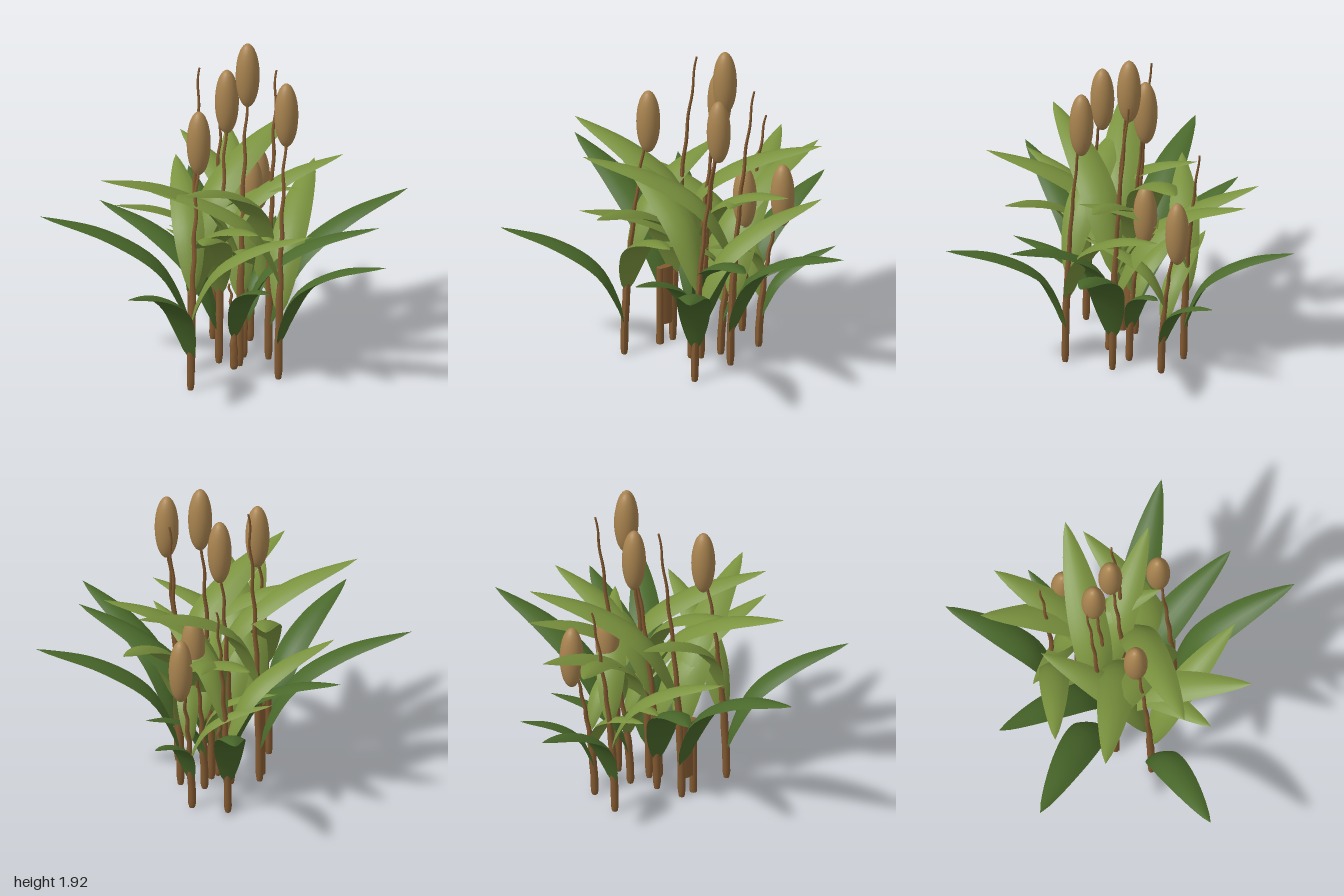
import * as THREE from 'three';

const mat = (name, color) => {
  const m = new THREE.MeshStandardMaterial({ color });
  m.name = name;
  return m;
};

// Each plant: base x/z, stem height, head flag, leaf tips [x, y, z] (lowest leaf first)
const PLANTS = [
  { x: -0.31, z: -0.07, h: 1.46, head: true, tips: [[-1, 0.82, 0.05], [0.025, 1.0, 0.54], [0.155, 1.15, -0.57]] },
  { x: 0.125, z: -0.075, h: 1.73, head: true, tips: [[0.47, 0.94, 0.665], [0.72, 1.12, -0.66], [-0.64, 1.29, -0.455]] },
  { x: 0.125, z: 0.21, h: 1.565, head: true, tips: [[0.19, 0.87, 0.95], [0.81, 1.04, -0.1], [-0.4, 1.19, -0.35]] },
  { x: 0.08, z: -0.19, h: 1.55, head: true, tips: [[-0.11, 0.86, -0.91], [-0.53, 1.04, 0.21], [0.66, 1.21, 0.24]] },
  { x: 0.43, z: -0.255, h: 0.94, head: true, tips: [[0.85, 0.58, -0.415], [0.15, 0.7, -0.62], [0.18, 0.8, 0.12]] },
  { x: 0.23, z: -0.135, h: 0.975, head: true, tips: [[0.68, 0.6, -0.145], [0.07, 0.72, -0.57], [-0.14, 0.83, 0.16]] },
  { x: -0.06, z: -0.275, h: 1.78, tips: [[-0.69, 0.97, -0.86], [-0.395, 1.14, 0.5], [0.8, 1.32, -0.21]] },
  { x: 0.3, z: -0.01, h: 1.72, tips: [[1, 0.94, 0.43], [0.49, 1.12, -0.82], [-0.535, 1.3, 0.05]] },
  { x: 0.315, z: -0.43, h: 1.35, tips: [[0.72, 0.78, -0.95], [-0.3, 0.97, -0.64], [0.32, 1.1, 0.2]] },
  { x: 0.07, z: -0.07, h: 0.5, tips: [[-0.19, 0.68, 0.41]] },
];

// Stem centre at fraction f of its height: a gentle lean with small kinks
function stemPoint(p, f) {
  const lean = p.h < 0.6 ? 0.02 : 0.13;
  const kink = 0.005 * Math.sin(f * Math.PI * 12) * f;
  return new THREE.Vector3(p.x + lean * Math.pow(f, 1.75) + kink, p.h * f, p.z - 0.05 * f * f + kink);
}

// Stout lower stalk with a rounded foot, narrowing into a thin, crooked spike
function stemGeometry(p) {
  const g = new THREE.CylinderGeometry(1, 1, 1, 8, 40);
  const pos = g.attributes.position;
  for (let i = 0; i < pos.count; i++) {
    const f = pos.getY(i) + 0.5;
    const c = stemPoint(p, f);
    const thick = 0.022 - 0.007 * THREE.MathUtils.smoothstep(f, 0.25, 0.45);
    const foot = f < 0.01 ? 0.75 : 1;
    const r = foot * thick * (1 - 0.6 * Math.max(0, f - 0.4) / 0.6);
    pos.setXYZ(i, c.x + pos.getX(i) * r, c.y, c.z + pos.getZ(i) * r);
  }
  g.computeVertexNormals();
  return g;
}

// Arching lance-shaped blade, fleshy in the middle and sharp along both edges
function leafGeometry(p, [tx, ty, tz], steepness) {
  const dx = tx - p.x, dz = tz - p.z;
  const len = Math.hypot(dx, dz), rise = steepness * len;
  const y0 = ty - rise;
  const start = stemPoint(p, Math.min(1, y0 / p.h));
  const profile = [[0, 0], [0.07, 0.24], [0.23, 0.56], [0.56, 0.82], [1, 1]];
  const curve = new THREE.CatmullRomCurve3(profile.map(([r, u]) =>
    new THREE.Vector3(THREE.MathUtils.lerp(start.x, tx, r), y0 + rise * u, THREE.MathUtils.lerp(start.z, tz, r))));
  const side = new THREE.Vector3(dz / len, 0, -dx / len);
  const rows = 18, cols = 6, verts = [], index = [];
  for (const face of [1, -1]) {
    const first = verts.length / 3;
    for (let i = 0; i <= rows; i++) {
      const t = i / rows;
      const c = curve.getPointAt(t);
      const up = new THREE.Vector3().crossVectors(curve.getTangentAt(t), side).normalize();
      const w = 0.122 * len * Math.pow(Math.max(0, Math.sin(Math.PI * Math.pow(t, 0.9))), 0.77) + 0.012 * (1 - t);
      for (let j = 0; j <= cols; j++) {
        const s = (j / cols) * 2 - 1;
        const lift = w * (0.12 * (0.4 - s * s) + face * 0.2 * (1 - s * s));
        const q = c.clone().addScaledVector(side, s * w).addScaledVector(up, lift);
        verts.push(q.x, q.y, q.z);
        if (i < rows && j < cols) {
          const a = first + i * (cols + 1) + j, b = a + cols + 1;
          if (face > 0) index.push(a, b, a + 1, a + 1, b, b + 1);
          else index.push(a, a + 1, b, a + 1, b + 1, b);
        }
      }
    }
  }
  const g = new THREE.BufferGeometry();
  g.setAttribute('position', new THREE.Float32BufferAttribute(verts, 3));
  g.setIndex(index);
  g.computeVertexNormals();
  return g;
}

export function createModel() {
  const root = new THREE.Group();
  root.name = 'reedClump';
  const stemMat = mat('stemBrown', 0x835a31);
  const headMat = mat('seedHeadTan', 0xa8834f);
  const darkMat = mat('leafDarkGreen', 0x4a692b);
  const lightMat = mat('leafLightGreen', 0x7a923e);

  const add = (parent, name, geometry, material) => {
    const m = new THREE.Mesh(geometry, material);
    m.name = name;
    parent.add(m);
    return m;
  };

  PLANTS.forEach((p, i) => {
    const plant = new THREE.Group();
    plant.name = `reed${i + 1}`;
    root.add(plant);
    add(plant, 'stem', stemGeometry(p), stemMat);
    p.tips.forEach((tip, k) => add(plant, k ? 'upperLeaf' : 'lowerLeaf',
      leafGeometry(p, tip, 0.9 - 0.04 * k), k ? lightMat : darkMat));
    if (p.head) {
      const head = add(plant, 'seedHead', new THREE.SphereGeometry(1, 24, 16), headMat);
      head.scale.set(0.068, 0.194, 0.068);
      head.position.copy(stemPoint(p, 1));
    }
  });

  // Short side shoot joined to its neighbour by a flattened sheath
  const shoot = add(root, 'sideShoot', new THREE.CylinderGeometry(0.02, 0.022, 0.48, 8), stemMat);
  shoot.position.set(-0.125, 0.24, -0.22);
  const sheath = add(root, 'shootSheath', new THREE.CylinderGeometry(0.055, 0.05, 0.36, 12), stemMat);
  sheath.position.set(-0.09, 0.3, -0.25);
  sheath.scale.z = 0.4;
  sheath.rotation.y = Math.atan2(0.06, 0.065);
  return root;
}
